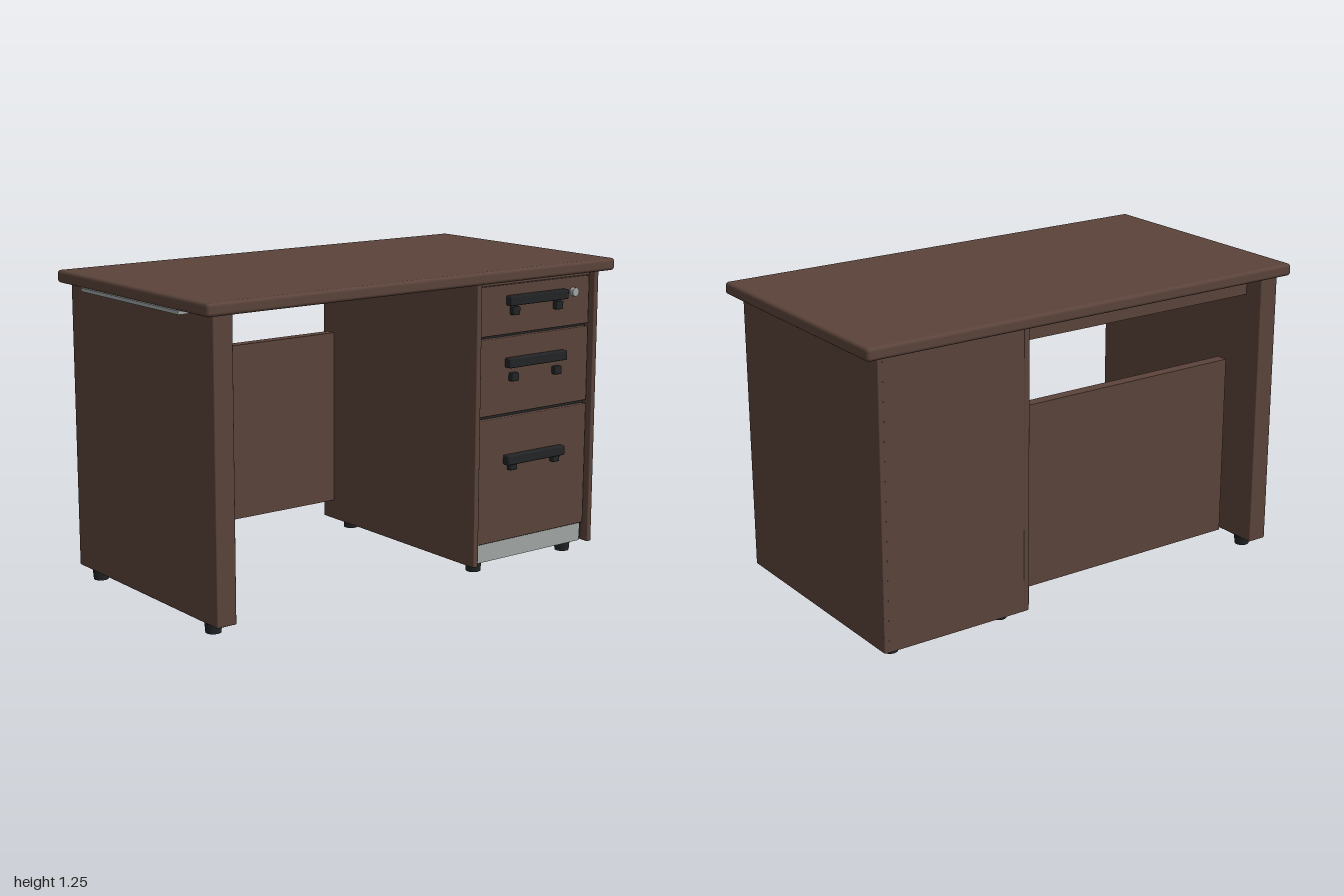
import * as THREE from 'three';
import { RoundedBoxGeometry } from 'three/addons/geometries/RoundedBoxGeometry.js';

export function createModel() {
  const mat = (name, color) => {
    const m = new THREE.MeshStandardMaterial({ color });
    m.name = name;
    return m;
  };
  const wood = mat('dark wood', 0x5a433a);
  const black = mat('black plastic', 0x222425);
  const metal = mat('grey metal', 0xa0a5a4);

  const desk = new THREE.Group();
  desk.name = 'desk';

  const add = (parent, name, geometry, material, x = 0, y = 0, z = 0) => {
    const mesh = new THREE.Mesh(geometry, material);
    mesh.name = name;
    mesh.position.set(x, y, z);
    parent.add(mesh);
    return mesh;
  };
  // Box given by its limits; a radius softens its edges
  const box = (parent, name, material, [x0, x1], [y0, y1], [z0, z1], radius = 0) => {
    const size = [x1 - x0, y1 - y0, z1 - z0];
    const geometry = radius
      ? new RoundedBoxGeometry(...size, 3, radius)
      : new THREE.BoxGeometry(...size);
    return add(parent, name, geometry, material, (x0 + x1) / 2, (y0 + y1) / 2, (z0 + z1) / 2);
  };

  // Worktop, leg panel and the parts that join them
  box(desk, 'worktop', wood, [-1, 1], [1.2, 1.25], [-0.54, 0.54], 0.014);
  box(desk, 'legPanel', wood, [-0.955, -0.87], [0.045, 1.2], [-0.505, 0.505], 0.004);
  box(desk, 'bracketPlate', metal, [-1, -0.82], [1.187, 1.201], [-0.35, 0.35]);
  box(desk, 'backRail', wood, [-0.87, 0.285], [1.115, 1.2], [-0.42, -0.37]);
  box(desk, 'modestyPanel', wood, [-0.72, 0.285], [0.13, 0.88], [-0.478, -0.43]);

  // Drawer cabinet carcass
  const cabinet = new THREE.Group();
  cabinet.name = 'drawerCabinet';
  desk.add(cabinet);
  box(cabinet, 'innerSide', wood, [0.28, 0.305], [0.045, 1.2], [-0.505, 0.505], 0.004);
  box(cabinet, 'outerSide', wood, [0.917, 0.94], [0.045, 1.2], [-0.505, 0.505], 0.004);
  box(cabinet, 'back', wood, [0.29, 0.93], [0.045, 1.2], [-0.504, -0.48]);
  box(cabinet, 'topBoard', wood, [0.305, 0.917], [1.182, 1.2], [-0.48, 0.475]);
  box(cabinet, 'interior', black, [0.305, 0.917], [0.075, 1.182], [-0.48, 0.455]);
  box(cabinet, 'bottomPlate', metal, [0.305, 0.917], [0.056, 0.075], [-0.48, 0.455]);
  box(cabinet, 'kickPlate', metal, [0.32, 0.9], [0.047, 0.123], [0.456, 0.472]);
  for (const x of [0.306, 0.9])
    box(cabinet, 'kickEnd', black, [x, x + 0.012], [0.06, 0.12], [0.44, 0.468]);

  // Drawers: front limits, handle height, height of the two grip posts
  const drawers = [
    [0.98, 1.18, 1.118, 1.075],
    [0.655, 0.968, 0.866, 0.806],
    [0.125, 0.64, 0.466, 0.438],
  ];
  drawers.forEach(([bottom, top, handleY, postY], i) => {
    const drawer = new THREE.Group();
    drawer.name = 'drawer' + (i + 1);
    cabinet.add(drawer);
    box(drawer, 'front', wood, [0.309, 0.913], [bottom, top], [0.45, 0.48], 0.004);
    box(drawer, 'handle', black, [0.452, 0.768], [handleY - 0.02, handleY + 0.02], [0.478, 0.513], 0.006);
    for (const x of [0.492, 0.728])
      box(drawer, 'handlePost', black, [x - 0.018, x + 0.018], [postY - 0.017, postY + 0.017], [0.478, 0.504], 0.004);
  });
  const lock = add(cabinet, 'lock', new THREE.CylinderGeometry(0.018, 0.018, 0.02, 24), metal, 0.82, 1.12, 0.488);
  lock.rotation.x = Math.PI / 2;

  // Feet
  const foot = new THREE.CylinderGeometry(0.033, 0.03, 0.038, 24);
  const collar = new THREE.CylinderGeometry(0.026, 0.026, 0.03, 24);
  for (const x of [-0.912, 0.36, 0.86])
    for (const z of [-0.412, 0.412]) {
      add(desk, 'foot', foot, black, x, 0.019, z);
      add(desk, 'footCollar', collar, black, x, 0.045, z);
    }

  return desk;
}
